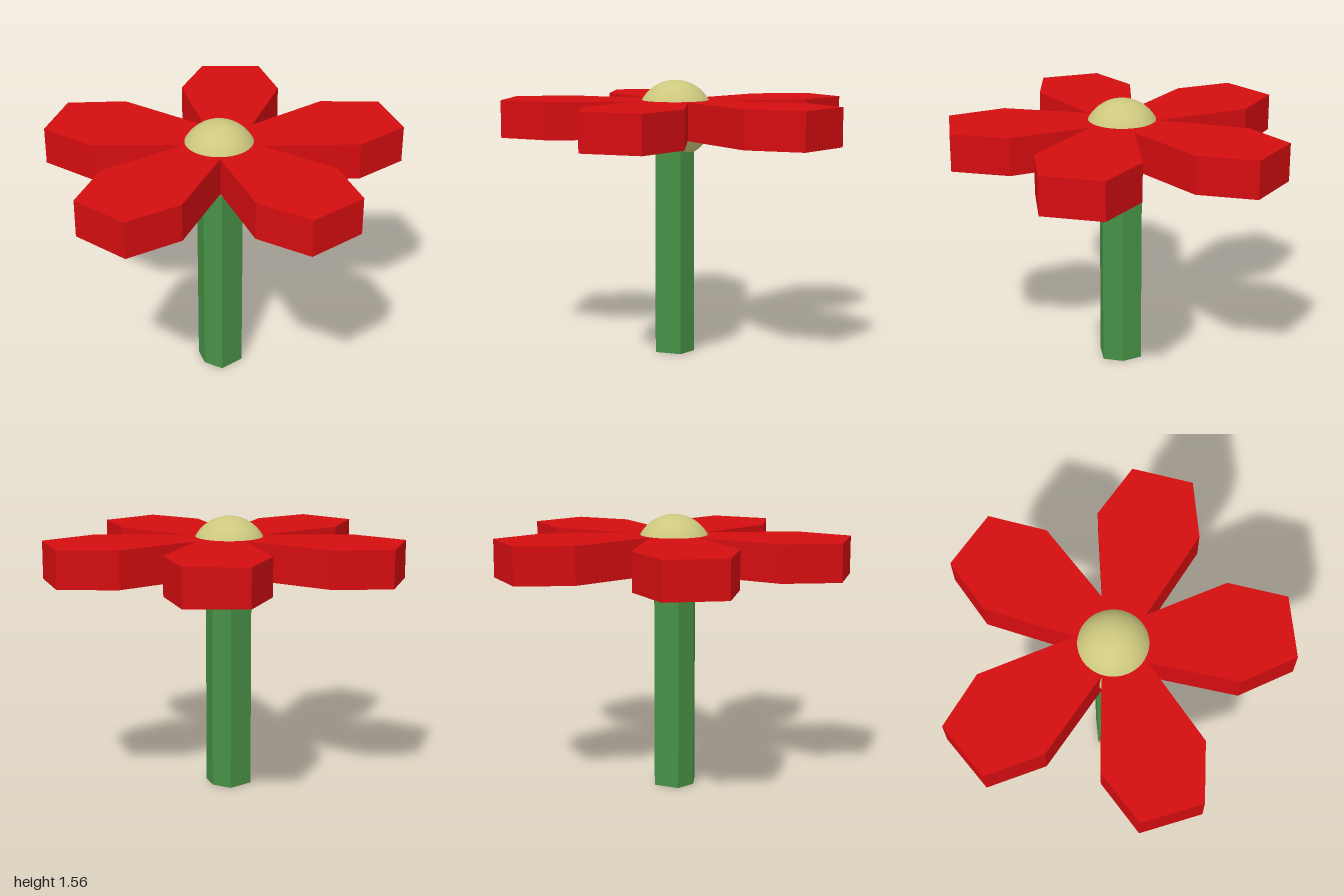
import * as THREE from 'three';

const material = (color, flatShading = false) => new THREE.MeshStandardMaterial({ color, flatShading });

// Upright prism from a plan outline of [x, z] points
function prism(name, outline, bottom, top, mat) {
  const shape = new THREE.Shape(outline.map(([x, z]) => new THREE.Vector2(x, -z)));
  const geometry = new THREE.ExtrudeGeometry(shape, { depth: top - bottom, bevelEnabled: false });
  geometry.rotateX(-Math.PI / 2).translate(0, bottom, 0);
  const mesh = new THREE.Mesh(geometry, mat);
  mesh.name = name;
  return mesh;
}

export function createModel() {
  const flower = new THREE.Group();
  flower.name = 'flower';
  const red = material(0xd40d10, true);
  const green = material(0x469046, true);
  const yellow = material(0xcdc87e);
  const center = [-0.02, -0.02];

  // Inner corners where neighbouring petals meet, going round the flower
  const inner = [[-0.15, 0.15], [0.122, 0.17], [0.246, -0.053], [0.035, -0.22], [-0.2, -0.1]];

  // Four outer corners of each petal, in the same order
  const tips = [
    [[0.262, 0.62], [0.15, 0.933], [-0.197, 0.933], [-0.305, 0.62]],
    [[0.743, -0.03], [0.997, 0.187], [0.877, 0.508], [0.548, 0.505]],
    [[0.24, -0.684], [0.524, -0.845], [0.786, -0.624], [0.668, -0.314]],
    [[-0.594, -0.428], [-0.679, -0.749], [-0.392, -0.94], [-0.125, -0.743]],
    [[-0.604, 0.398], [-0.932, 0.353], [-1, 0.016], [-0.717, -0.155]],
  ];

  tips.forEach((tip, i) => {
    const next = inner[(i + 1) % 5];
    // The outer corners run from the next inner corner back to this one
    const first = Math.hypot(tip[0][0] - next[0], tip[0][1] - next[1]);
    const last = Math.hypot(tip[3][0] - next[0], tip[3][1] - next[1]);
    const ordered = first < last ? tip : [...tip].reverse();
    flower.add(prism('petal', [center, next, ...ordered, inner[i]], 1.235, 1.447, red));
  });

  // Six-sided stem, ending inside the flower centre
  const stem = [[0.118, 0], [0.075, 0.111], [-0.075, 0.111], [-0.118, 0], [-0.075, -0.111], [0.075, -0.111]]
    .map(([x, z]) => [x - 0.0215, z - 0.0125]);
  flower.add(prism('stem', stem, 0, 1.22, green));

  // Round flower centre
  const ball = new THREE.Mesh(new THREE.SphereGeometry(0.217, 40, 28), yellow);
  ball.name = 'flowerCentre';
  ball.position.set(center[0], 1.343, center[1]);
  flower.add(ball);

  return flower;
}
